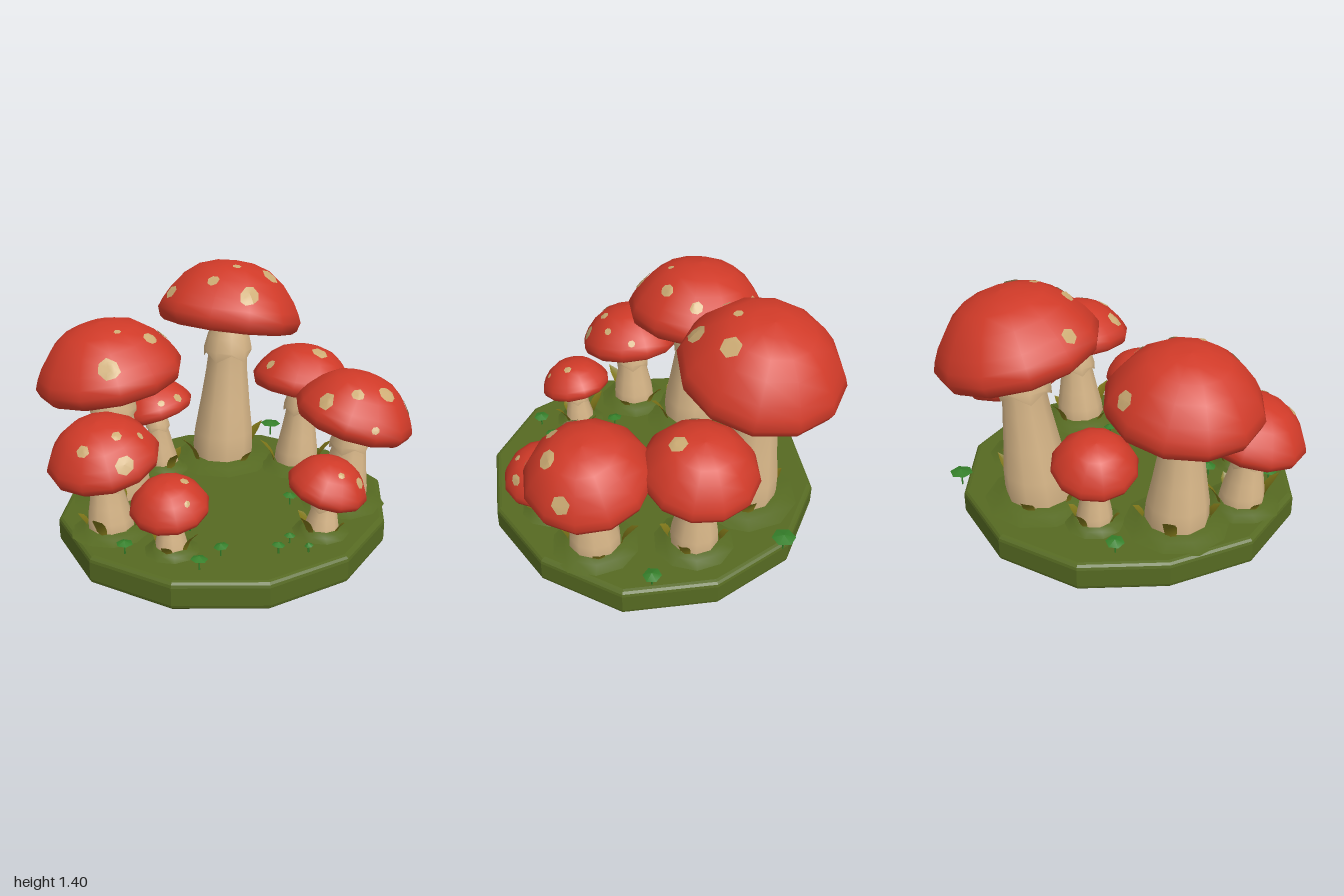
import * as THREE from 'three';

const mat = (name, color, double) => {
  const m = new THREE.MeshStandardMaterial({ color });
  m.name = name;
  if (double) m.side = THREE.DoubleSide;
  return m;
};
const red = mat('cap red', 0xd03a28);
const cream = mat('stem cream', 0xd6b587, true);
const spotTan = mat('spot tan', 0xcdac74, true);
const moss = mat('moss green', 0x566a22);
const olive = mat('leaf olive', 0x7f7619, true);
const clover = mat('clover green', 0x35802a, true);

const GROUND = 0.16, SIDES = 12;
const v2 = pts => pts.map(p => new THREE.Vector2(p[0], p[1]));
function add(parent, name, geometry, material) {
  const m = new THREE.Mesh(geometry, material);
  m.name = name;
  parent.add(m);
  return m;
}

// Cap profiles for a cap of radius 1, rim at y = 0
const DOME = [[0.9, -0.17], [0.96, -0.12], [1, 0], [0.95, 0.12], [0.87, 0.26], [0.7, 0.47], [0.5, 0.62], [0.25, 0.7], [0, 0.72]];
const GILLS = [[0.2, -0.24], [0.3, -0.13], [0.6, -0.09], [0.9, -0.17]];

// Height of the faceted dome above a point in its plane
function domeHeight(u, v) {
  const step = Math.PI * 2 / SIDES;
  let a = Math.atan2(u, v) % step;
  if (a < 0) a += step;
  const rho = Math.min(1, Math.hypot(u, v) * Math.cos(a - step / 2) / Math.cos(step / 2));
  for (let i = 2; i < DOME.length - 1; i++) {
    const [r0, y0] = DOME[i], [r1, y1] = DOME[i + 1];
    if (rho >= r1) return y0 + (y1 - y0) * (r0 - rho) / (r0 - r1);
  }
  return 0.72;
}

// Spot: a thin polygon patch that follows the dome around (x, z)
function spotGeometry(x, z, size, quat, sides) {
  let u = x, v = z;
  const p = new THREE.Vector3();
  for (let i = 0; i < 6; i++) {
    p.set(u, domeHeight(u, v), v).applyQuaternion(quat);
    u += x - p.x; v += z - p.z;
    const l = Math.hypot(u, v);
    if (l > 0.93) { u *= 0.93 / l; v *= 0.93 / l; }
  }
  const e = 0.03, h = domeHeight(u, v);
  const n = new THREE.Vector3((h - domeHeight(u + e, v)) / e, 1, (h - domeHeight(u, v + e)) / e).normalize();
  const s = new THREE.Vector3(1, 0, 0).addScaledVector(n, -n.x).normalize();
  const t = new THREE.Vector3().crossVectors(s, n);
  const g = new THREE.RingGeometry(0.0001, size, sides, 4, x * 5);
  const pos = g.attributes.position;
  for (let i = 0; i < pos.count; i++) {
    const a = pos.getX(i), b = -pos.getY(i);
    const pu = u + s.x * a + t.x * b, pv = v + s.z * a + t.z * b;
    pos.setXYZ(i, pu + n.x * 0.016, domeHeight(pu, pv) + n.y * 0.016, pv + n.z * 0.016);
  }
  g.computeVertexNormals();
  return g;
}

// Pointed curled leaf made of tapering V-shaped sections
function leafGeometry(length, width) {
  const g = new THREE.PlaneGeometry(1, 1, 2, 5), pos = g.attributes.position;
  for (let i = 0; i < pos.count; i++) {
    const t = pos.getY(i) + 0.5, side = pos.getX(i) * 2;
    const w = width * (0.6 + 0.9 * t) * Math.sqrt(Math.max(0, 1 - t * t));
    pos.setXYZ(i, side * w, t * length, length * 0.55 * t * t - 0.3 * w * Math.abs(side));
  }
  g.computeVertexNormals();
  return g;
}

// Mossy mound and a ring of leaves around the foot of a stem
function addFoot(group, x, z, r, index) {
  const profile = v2([[0.75 * r, 0], [0.52 * r, 0.016], [0.4 * r, 0.045], [0, 0.045]]);
  add(group, 'mound', new THREE.LatheGeometry(profile, 10), moss).position.set(x, GROUND - 0.003, z);
  for (let i = 0; i < 4; i++) {
    const a = index * 1.3 + i * 1.6 + 0.25 * (i % 2), size = 0.55 + r;
    const leaf = add(group, 'leaf', leafGeometry((i % 2 ? 0.11 : 0.19) * size, 0.042 * size), olive);
    leaf.position.set(x + Math.sin(a) * r * 0.43, GROUND, z + Math.cos(a) * r * 0.43);
    leaf.rotation.y = a;
  }
}

// x, rim height, z and radius of the cap, its rim slope in x and z, spots as x, z, size from the cap centre
function mushroom(index, cx, cy, cz, r, slopeX, slopeZ, spots) {
  const group = new THREE.Group();
  group.name = 'mushroom' + (index + 1);

  // Cap with gills and spots
  const cap = new THREE.Group();
  cap.name = 'cap';
  cap.position.set(cx, cy, cz);
  cap.quaternion.setFromUnitVectors(new THREE.Vector3(0, 1, 0), new THREE.Vector3(-slopeX, 1, -slopeZ).normalize());
  cap.scale.setScalar(r);
  add(cap, 'capDome', new THREE.LatheGeometry(v2(DOME), SIDES), red);
  add(cap, 'capGills', new THREE.LatheGeometry(v2(GILLS), SIDES), cream);
  spots.forEach(([x, z, s], i) => add(cap, 'capSpot', spotGeometry(x / r, z / r, s / r, cap.quaternion, 6 + i % 3), spotTan));
  group.add(cap);

  // Stem leaning the way the cap tips
  const y0 = GROUND - 0.01, h = cy - 0.1 * r - y0;
  const fx = cx + 0.4 * slopeX * h, fz = cz + 0.4 * slopeZ * h;
  const lean = g => {
    const p = g.attributes.position;
    for (let i = 0; i < p.count; i++) {
      const t = p.getY(i) / h;
      p.setXYZ(i, p.getX(i) + fx + (cx - fx) * t, p.getY(i) + y0, p.getZ(i) + fz + (cz - fz) * t);
    }
    return g;
  };
  const stem = [[0.41, 0], [0.425, 0.1], [0.41, 0.22], [0.35, 0.42], [0.29, 0.65], [0.255, 0.85], [0.26, 1]];
  add(group, 'stem', lean(new THREE.LatheGeometry(v2(stem.map(([a, t]) => [a * r, t * h])), 10)), cream);

  // Ragged skirt below the cap
  const k = h - 0.46 * r;
  const skirt = new THREE.LatheGeometry(v2([[0.33 * r, k], [0.335 * r, k + 0.08 * r], [0.29 * r, k + 0.26 * r], [0.25 * r, k + 0.38 * r]]), 10);
  const sp = skirt.attributes.position;
  for (let i = 0; i < sp.count; i += 4) sp.setY(i, k + ((i / 4) % 2 ? 0.05 : -0.06) * r);
  add(group, 'skirt', lean(skirt), cream);

  addFoot(group, fx, fz, r, index);
  return group;
}

// Ground plate: a slightly irregular bevelled polygon
function plateGeometry() {
  const radii = [0.925, 0.93, 0.97, 0.955, 0.95, 0.94, 0.93, 0.9, 0.94, 0.96, 0.95, 0.94];
  const outline = radii.map((r, i) => {
    const a = i / radii.length * Math.PI * 2;
    return [0.025 + r * Math.sin(a), -r * Math.cos(a)];
  });
  const g = new THREE.ExtrudeGeometry(new THREE.Shape(v2(outline)),
    { depth: 0.1, bevelThickness: 0.03, bevelSize: 0.03, bevelOffset: -0.03, bevelSegments: 3 });
  return g.rotateX(-Math.PI / 2).translate(0, 0.03, 0);
}

// Clover sprig: a thin stalk under a flat leaf
function sprig(x, z, size, i) {
  const group = new THREE.Group(), h = 0.015 + 1.1 * size;
  group.name = 'clover';
  add(group, 'cloverStalk', new THREE.CylinderGeometry(0.004, 0.005, h, 5), clover).position.y = h / 2;
  const top = add(group, 'cloverLeaf', new THREE.ConeGeometry(size, 0.018, 6, 1, true), clover);
  top.position.y = h + 0.005;
  top.rotation.set(0.15 * Math.sin(i * 2), i, 0.15 * Math.cos(i * 3));
  group.position.set(x, GROUND, z);
  return group;
}

export function createModel() {
  const model = new THREE.Group();
  model.name = 'mushroomPatch';
  add(model, 'groundPlate', plateGeometry(), moss);

  // Four large mushrooms, then four small ones
  model.add(
    mushroom(0, -0.40, 0.91, -0.46, 0.41, 0.11, 0.11, [[0.23, -0.25, 0.05], [-0.2, 0.26, 0.06], [0.1, 0.23, 0.043], [-0.05, 0.15, 0.02], [0.27, 0.13, 0.038]]),
    mushroom(1, 0.49, 1.08, -0.42, 0.44, -0.22, 0.05, [[-0.33, -0.14, 0.045], [-0.235, 0.11, 0.037], [-0.14, 0.3, 0.06], [0.1, 0.23, 0.058], [-0.06, 0.12, 0.026]]),
    mushroom(2, 0.52, 0.69, 0.53, 0.335, -0.2, -0.17, [[-0.25, 0.01, 0.048], [-0.145, 0.13, 0.036], [0.01, 0.2, 0.052], [0.2, 0.2, 0.05], [-0.17, 0.28, 0.022]]),
    mushroom(3, 0.70, 0.70, 0, 0.31, -0.22, 0, [[0, 0.12, 0.05], [-0.22, -0.06, 0.03]]));
  model.add(
    mushroom(4, -0.70, 0.60, -0.15, 0.3, 0.22, -0.03, [[-0.19, 0.09, 0.036], [-0.06, 0.25, 0.052], [0.1, 0.18, 0.022], [-0.03, 0.155, 0.03], [0.23, 0.08, 0.022]]),
    mushroom(5, -0.60, 0.43, 0.25, 0.207, 0.22, -0.12, [[0.05, 0.06, 0.024], [-0.02, 0.155, 0.018]]),
    mushroom(6, 0.14, 0.43, 0.67, 0.218, -0.13, -0.22, [[-0.04, 0.12, 0.02], [0.06, 0.16, 0.034]]),
    mushroom(7, 0.03, 0.55, -0.59, 0.23, 0.15, 0.28, [[0.02, 0.18, 0.03], [-0.09, 0.16, 0.022]]));

  // Clover: x, z, leaf size
  const clovers = [[-0.44, 0.06, 0.045], [-0.38, 0.16, 0.03], [-0.61, 0.48, 0.045], [-0.44, 0.46, 0.04], [-0.21, 0.65, 0.035], [-0.09, 0.62, 0.03],
    [-0.09, 0.75, 0.025], [0.235, 0.33, 0.04], [0.88, -0.42, 0.065], [-0.13, -0.77, 0.05], [0.86, 0.32, 0.05], [-0.78, 0.1, 0.045]];
  clovers.forEach((c, i) => model.add(sprig(...c, i)));
  return model;
}
